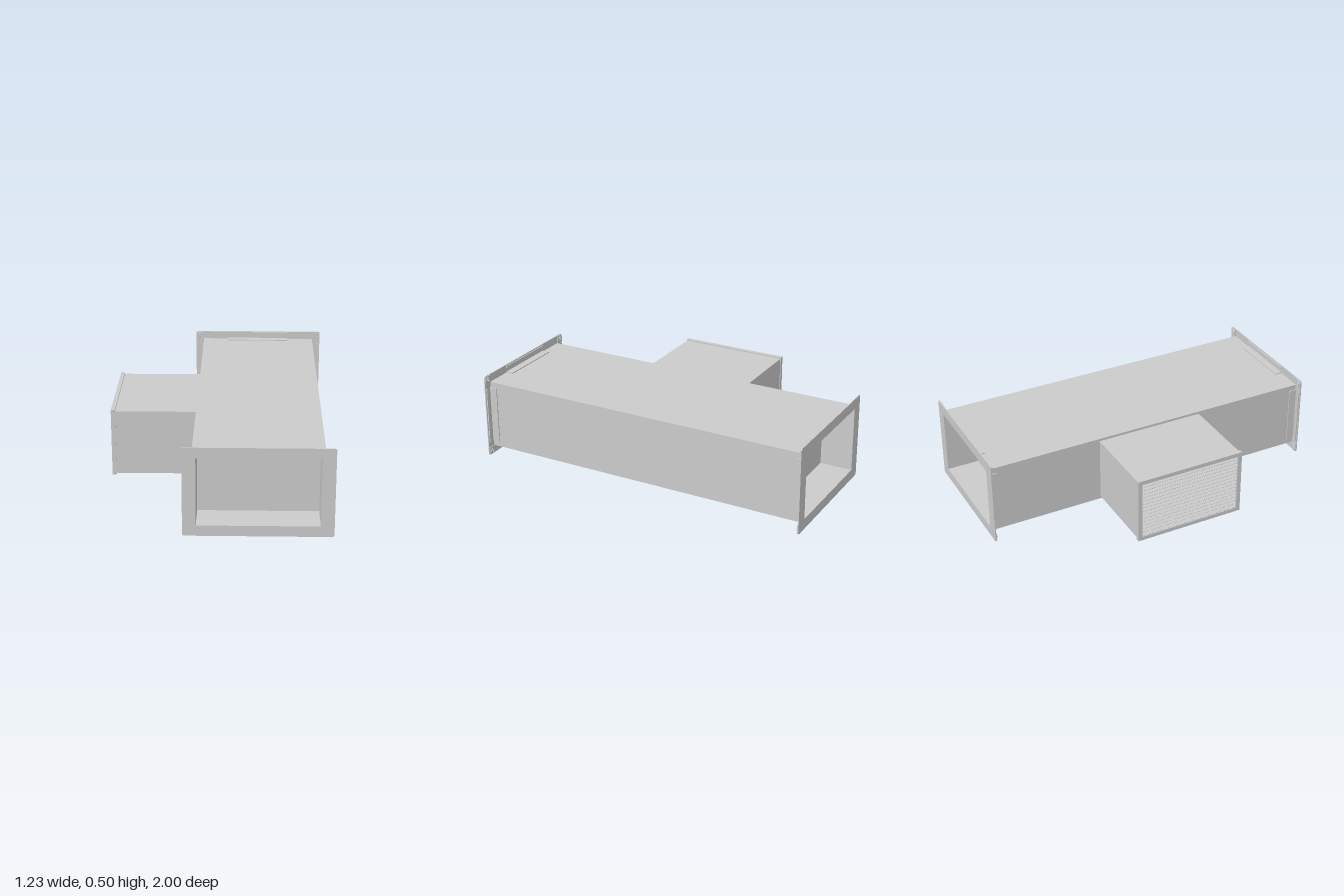
import * as THREE from 'three';

const material = new THREE.MeshStandardMaterial({ color: 0xcccccc, flatShading: true });
const CX = 0.215, CY = 0.252; // centre of the main duct section

function add(parent, name, geometry, x = 0, y = 0, z = 0) {
  const mesh = new THREE.Mesh(geometry, material);
  mesh.name = name;
  mesh.position.set(x, y, z);
  parent.add(mesh);
  return mesh;
}

const box = (w, h, d) => new THREE.BoxGeometry(w, h, d);

// Rectangle outline with small cut corners
function outline(Type, w, h, c = 0) {
  const a = w / 2, b = h / 2;
  const points = c
    ? [[-a + c, -b], [a - c, -b], [a, -b + c], [a, b - c], [a - c, b], [-a + c, b], [-a, b - c], [-a, -b + c]]
    : [[-a, -b], [a, -b], [a, b], [-a, b]];
  return new Type(points.map(([x, y]) => new THREE.Vector2(x, y)));
}

// Rectangular frame extruded along z, centred on z = 0
function frame(w, h, innerW, innerH, depth, cut = 0, boltHoles = []) {
  const shape = outline(THREE.Shape, w, h, cut);
  shape.holes.push(outline(THREE.Path, innerW, innerH));
  for (const [x, y] of boltHoles) {
    const hole = new THREE.Path();
    hole.absarc(x, y, 0.009, 0, Math.PI * 2, true);
    shape.holes.push(hole);
  }
  return new THREE.ExtrudeGeometry(shape, { depth, bevelEnabled: false, curveSegments: 6 })
    .translate(0, 0, -depth / 2);
}

// Connection flange whose outer face lies at z = 1
function createFlange() {
  const flange = new THREE.Group();
  flange.name = 'flange';
  const corners = [[-1, -1], [1, -1], [1, 1], [-1, 1]];
  add(flange, 'flangePlate', frame(0.8, 0.5, 0.655, 0.38, 0.006, 0.008), 0, 0, 0.997);
  for (const s of [-1, 1]) {
    // Angle legs lying on the duct walls
    add(flange, 'flatLeg', box(0.38, 0.006, 0.045), 0, s * 0.205, 0.972);
    add(flange, 'sideLeg', box(0.006, 0.34, 0.045), s * 0.353, 0, 0.972);
    // Stiffening lips behind the rim
    add(flange, 'flatLip', box(0.38, 0.012, 0.008), 0, s * 0.238, 0.991);
    add(flange, 'sideLip', box(0.012, 0.34, 0.008), s * 0.388, 0, 0.991);
  }
  // Corner brackets with bolt rings
  for (const [sx, sy] of corners) {
    add(flange, 'cornerBracket', box(0.045, 0.045, 0.005), sx * 0.374, sy * 0.224, 0.992);
    add(flange, 'boltRing', new THREE.TorusGeometry(0.011, 0.004, 5, 12), sx * 0.377, sy * 0.227, 0.988);
  }
  return flange;
}

export function createModel() {
  const model = new THREE.Group();
  model.name = 'ductTee';

  // Main duct with a recessed opening at each end
  const main = new THREE.Group();
  main.name = 'mainDuct';
  main.position.set(CX, CY, 0);
  model.add(main);
  add(main, 'ductShell', frame(0.7, 0.405, 0.655, 0.38, 1.994));
  add(main, 'ductCore', box(0.66, 0.385, 1.62));
  for (const turn of [0, Math.PI]) {
    const flange = createFlange();
    flange.rotation.y = turn;
    main.add(flange);
  }

  // Side branch
  const branch = new THREE.Group();
  branch.name = 'sideBranch';
  model.add(branch);
  add(branch, 'branchDuct', box(0.465, 0.376, 0.642), -0.3625, CY, 0);

  // Grille frame on the branch end
  const collar = add(branch, 'grilleFrame', frame(0.65, 0.392, 0.6, 0.345, 0.023), -0.6035, CY, 0);
  collar.rotation.y = Math.PI / 2;

  // Tilted louvre slats
  const count = 15, pitch = 0.345 / count;
  for (let i = 0; i < count; i++) {
    const y = CY + (i - (count - 1) / 2) * pitch;
    const slat = add(branch, 'louvreSlat', box(0.022, 0.004, 0.602), -0.604, y, 0);
    slat.rotation.z = 0.7;
  }
  return model;
}
